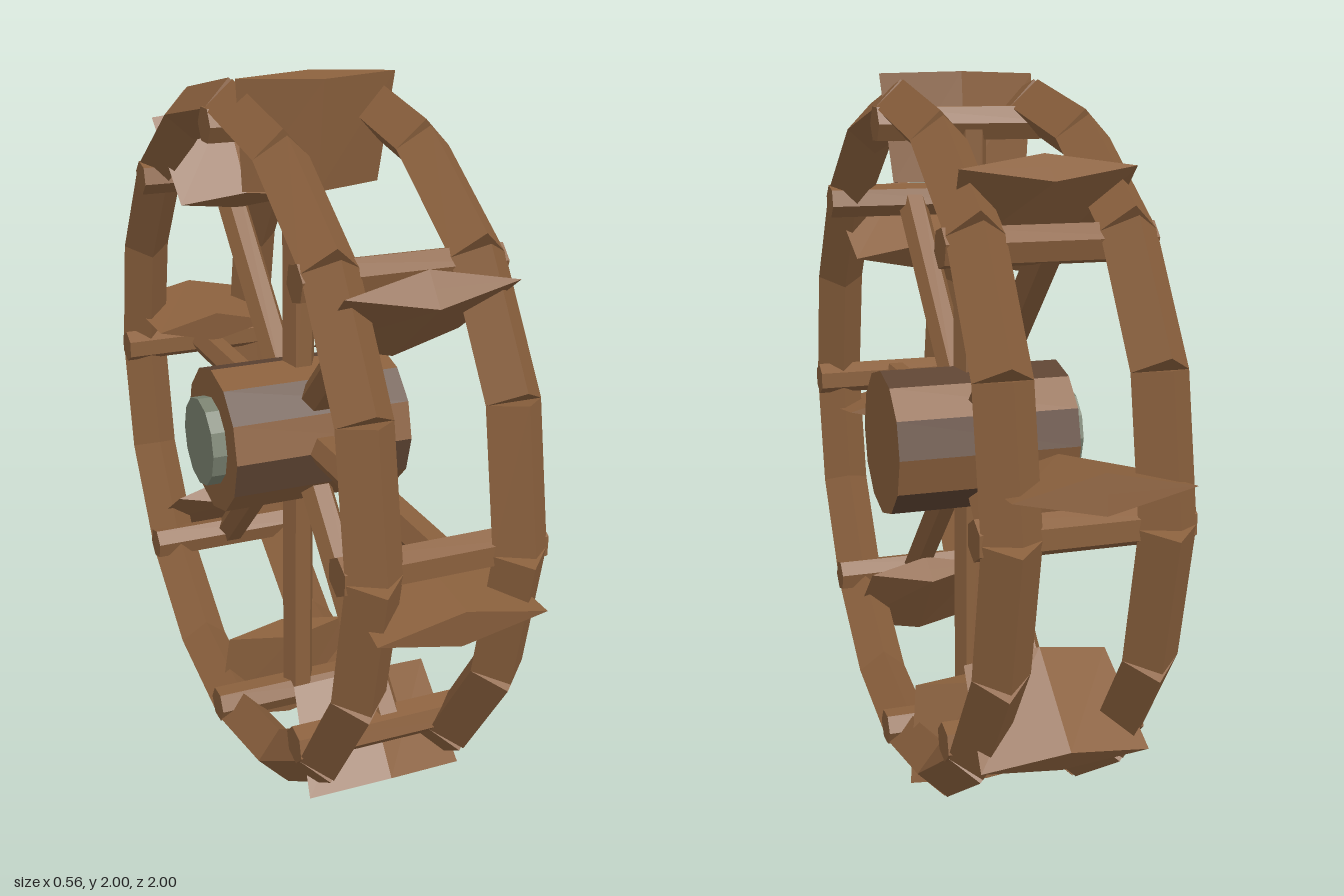
import * as THREE from 'three';

const CENTRE_X = 0.017;
const makeMaterial = (name, color) => {
  const material = new THREE.MeshStandardMaterial({ color });
  material.name = name;
  return material;
};
const wood = makeMaterial('brown wood', 0x8a603d);
const darkWood = makeMaterial('dark brown wood', 0x5e4433);
const iron = makeMaterial('grey green iron', 0x7a8270);

// Faceted mesh with hard edges
function part(name, geometry, material = wood) {
  const flat = geometry.toNonIndexed();
  flat.computeVertexNormals();
  const mesh = new THREE.Mesh(flat, material);
  mesh.name = name;
  return mesh;
}

// Puts a mesh on the wheel: angle runs from the top towards the front
function onWheel(mesh, angle, radius, x = CENTRE_X) {
  mesh.rotation.x = angle;
  mesh.position.set(x, Math.cos(angle) * radius, Math.sin(angle) * radius);
  return mesh;
}

// Lozenge board, wider at its outer end, of even thickness
function paddleGeometry() {
  const g = new THREE.CylinderGeometry(0.217, 0.19, 0.29, 4);
  const p = g.attributes.position;
  for (let i = 0; i < p.count; i++) {
    const z = p.getZ(i);
    p.setZ(i, Math.abs(z) > 1e-4 ? Math.sign(z) * 0.048 : 0);
  }
  return g;
}

// Twelve-sided hub with staves of alternating wood and plain ends
function makeHub(radius, length) {
  const hub = new THREE.Group();
  hub.name = 'hub';
  hub.position.x = CENTRE_X;
  const sides = 12;
  const arc = 2 * Math.PI / sides;
  for (let i = 0; i < sides; i++) {
    const stave = new THREE.CylinderGeometry(radius, radius, length, 1, 1, true, i * arc, arc);
    hub.add(part('hubStave', stave.rotateZ(Math.PI / 2), i % 2 ? darkWood : wood));
  }
  for (const side of [-1, 1]) {
    const end = part('hubEnd', new THREE.CircleGeometry(radius, sides));
    end.rotation.y = side * Math.PI / 2;
    end.position.x = side * length / 2;
    hub.add(end);
  }
  return hub;
}

export function createModel() {
  const model = new THREE.Group();
  model.name = 'waterWheel';
  const wheel = new THREE.Group();
  wheel.name = 'wheel';
  wheel.position.y = 1;
  model.add(wheel);

  // Two rims of sixteen straight square beams, set edge outwards
  const step = Math.PI / 8;
  const rimRadius = 0.907;
  const beamLength = 2 * rimRadius * Math.sin(step / 2);
  const beam = new THREE.CylinderGeometry(0.072, 0.072, beamLength, 4).rotateX(Math.PI / 2);
  for (const x of [-0.17, 0.202]) {
    for (let i = 0; i < 16; i++) {
      wheel.add(onWheel(part('rimBeam', beam), (i + 0.5) * step, rimRadius * Math.cos(step / 2), x));
    }
  }

  // Spokes, crossbars and paddles, eight of each
  const spoke = new THREE.CylinderGeometry(0.047, 0.047, 0.74, 6).rotateY(Math.PI / 6);
  const crossbar = new THREE.CylinderGeometry(0.05, 0.05, 0.52, 6).rotateZ(Math.PI / 2);
  const paddle = paddleGeometry();
  for (let i = 0; i < 8; i++) {
    const a = i * Math.PI / 4;
    wheel.add(onWheel(part('spoke', spoke), a, 0.49));
    wheel.add(onWheel(part('crossbar', crossbar), a, 0.865));
    wheel.add(onWheel(part('paddle', paddle), a + 0.12, 0.855));
  }

  // Hub and the iron axle cap on its right end
  const cap = part('axleCap', new THREE.CylinderGeometry(0.125, 0.125, 0.06, 12).rotateZ(Math.PI / 2), iron);
  cap.position.x = -0.25;
  wheel.add(makeHub(0.204, 0.515), cap);
  return model;
}
